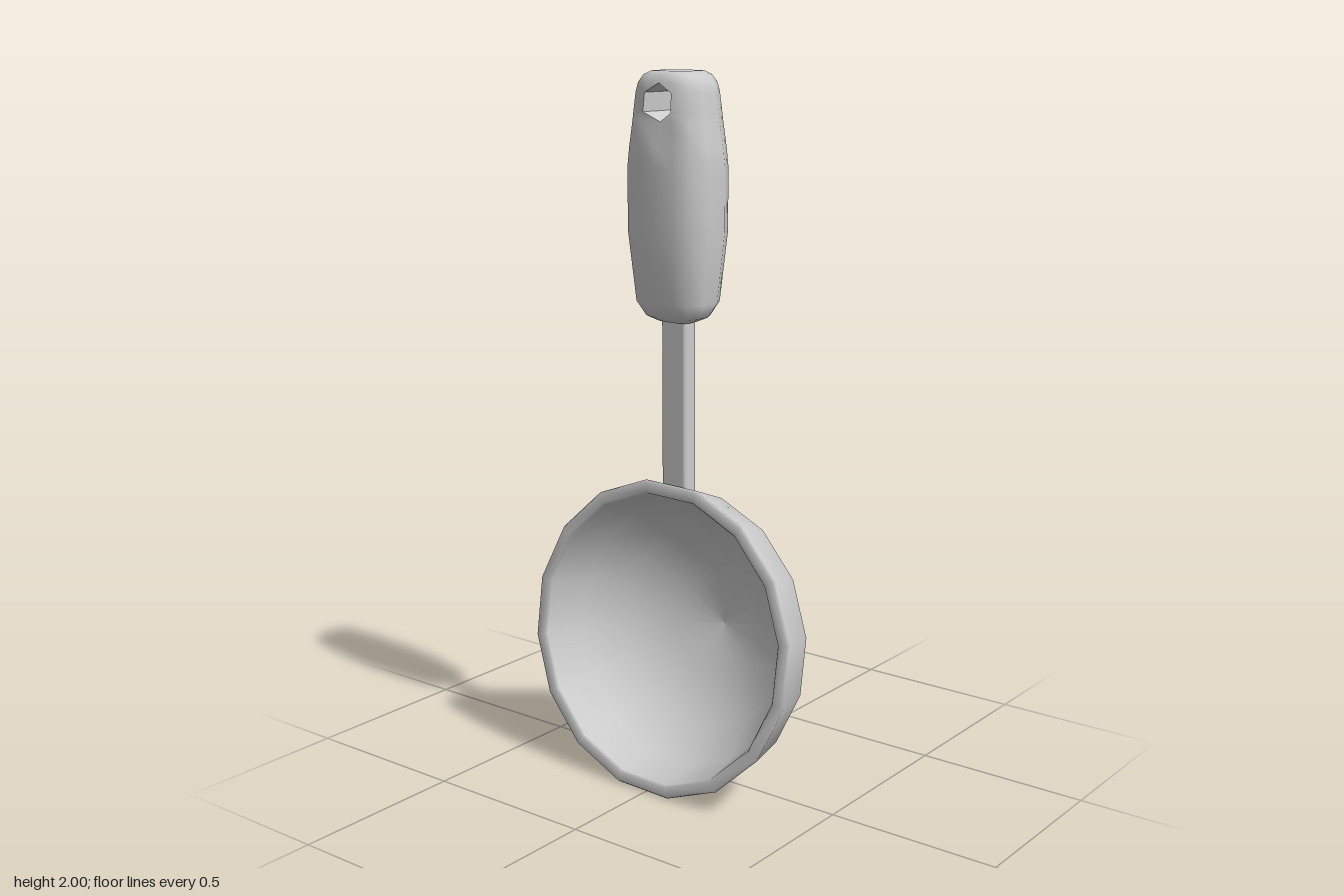
import * as THREE from 'three';
import { RoundedBoxGeometry } from 'three/addons/geometries/RoundedBoxGeometry.js';

const material = new THREE.MeshStandardMaterial({ color: 0xcccccc });
const tunnelMaterial = new THREE.MeshStandardMaterial({ color: 0xcccccc, side: THREE.DoubleSide, flatShading: true });

function addMesh(parent, name, geometry, mat = material) {
  const mesh = new THREE.Mesh(geometry, mat);
  mesh.name = name;
  parent.add(mesh);
  return mesh;
}

// Quarter ellipse of five points, from the pole to the rim
function quarter(radius, depth) {
  return [4, 3, 2, 1, 0].map((i) => {
    const a = (i * Math.PI) / 8;
    return new THREE.Vector2(i === 4 ? 0 : radius * Math.cos(a), -depth * Math.sin(a));
  });
}

// Hollow 16-sided bowl with a softly bevelled rim
function bowlGeometry() {
  const outer = quarter(0.449, 0.36);
  const inner = quarter(0.411, 0.325).reverse();
  outer[4].y = -0.008;
  inner[0].y = -0.008;
  const rim = [new THREE.Vector2(0.444, 0), new THREE.Vector2(0.417, 0)];
  return new THREE.LatheGeometry([...outer, ...rim, ...inner], 16, Math.PI / 16 - 0.023);
}

// Grip cross-section as fractions of half width and half depth
const half = [[1, 0.36], [0.83, 0.82], [0.42, 1], [0, 1], [-0.42, 1], [-0.83, 0.82], [-1, 0.36]];
const section = [...half, ...half.map(([x, z]) => [-x, -z])];
const N = section.length;

// Grip rows: height, half width, half depth
const rows = [
  [1.335, 0.05, 0.035], [1.35, 0.085, 0.06], [1.39, 0.11, 0.08], [1.58, 0.13, 0.097],
  [1.75, 0.13, 0.097], [1.8, 0.125, 0.094], [1.87, 0.113, 0.091], [1.895, 0.11, 0.089],
  [1.945, 0.104, 0.085], [1.97, 0.097, 0.081], [1.99, 0.082, 0.072], [2.0, 0.062, 0.056],
];
const HOLE = 6; // the hole spans rows 6 to 9
const isCentre = (j) => j === 3 || j === 10;

function gripPoint(r, j) {
  const [y, w, d] = rows[r];
  const dent = r === HOLE && isCentre(j) ? 0.82 : 1; // scoop below the hole
  return [section[j][0] * w, y, section[j][1] * d * dent];
}

function gripGeometry() {
  const positions = [];
  const index = [];
  rows.forEach((_, r) => section.forEach((__, j) => positions.push(...gripPoint(r, j))));
  for (let r = 0; r < rows.length - 1; r++) {
    for (let j = 0; j < N; j++) {
      const k = (j + 1) % N;
      const besideHole = isCentre(j) || isCentre(k);
      if (besideHole && r === HOLE + 1) continue;
      let face = [[r, j], [r + 1, j], [r + 1, k], [r, k]];
      // Cut the corner that lies inside the hexagonal hole
      if (besideHole && r === HOLE) face = face.filter(([q, c]) => !(isCentre(c) && q === r + 1));
      if (besideHole && r === HOLE + 2) face = face.filter(([q, c]) => !(isCentre(c) && q === r));
      const ids = face.map(([q, c]) => q * N + c);
      for (let i = 1; i < ids.length - 1; i++) index.push(ids[0], ids[i], ids[i + 1]);
    }
  }
  // End caps
  const last = rows.length - 1;
  const base = rows.length * N;
  positions.push(0, rows[0][0], 0, 0, rows[last][0], 0);
  for (let j = 0; j < N; j++) {
    const k = (j + 1) % N;
    index.push(base, j, k, base + 1, last * N + k, last * N + j);
  }
  const geometry = new THREE.BufferGeometry();
  geometry.setAttribute('position', new THREE.Float32BufferAttribute(positions, 3));
  geometry.setIndex(index);
  geometry.computeVertexNormals();
  return geometry;
}

// Six walls joining the front and back openings of the hole
function holeGeometry() {
  const loop = [[9, 3], [8, 4], [7, 4], [6, 3], [7, 2], [8, 2]];
  const positions = [];
  loop.forEach(([r, j], i) => {
    const [s, k] = loop[(i + 1) % 6];
    const a = gripPoint(r, j), b = gripPoint(s, k);
    const c = gripPoint(s, 13 - k), d = gripPoint(r, 13 - j);
    positions.push(...a, ...b, ...c, ...a, ...c, ...d);
  });
  const geometry = new THREE.BufferGeometry();
  geometry.setAttribute('position', new THREE.Float32BufferAttribute(positions, 3));
  geometry.computeVertexNormals();
  return geometry;
}

export function createModel() {
  const model = new THREE.Group();
  model.name = 'ladle';

  // Bowl, opening forward and slightly upward
  const bowl = addMesh(model, 'bowl', bowlGeometry());
  bowl.position.set(0, 0.445, 0.153);
  bowl.rotation.x = Math.acos(0.12);

  // Flat bar between bowl and grip
  const stem = addMesh(model, 'stem', new RoundedBoxGeometry(0.084, 0.52, 0.05, 2, 0.01));
  stem.position.set(0.01, 1.115, 0.058);

  // Rounded grip with hanging hole
  const handle = new THREE.Group();
  handle.name = 'handle';
  handle.position.set(0.01, 0, 0.06);
  addMesh(handle, 'grip', gripGeometry());
  addMesh(handle, 'hangingHole', holeGeometry(), tunnelMaterial);
  model.add(handle);

  return model;
}
